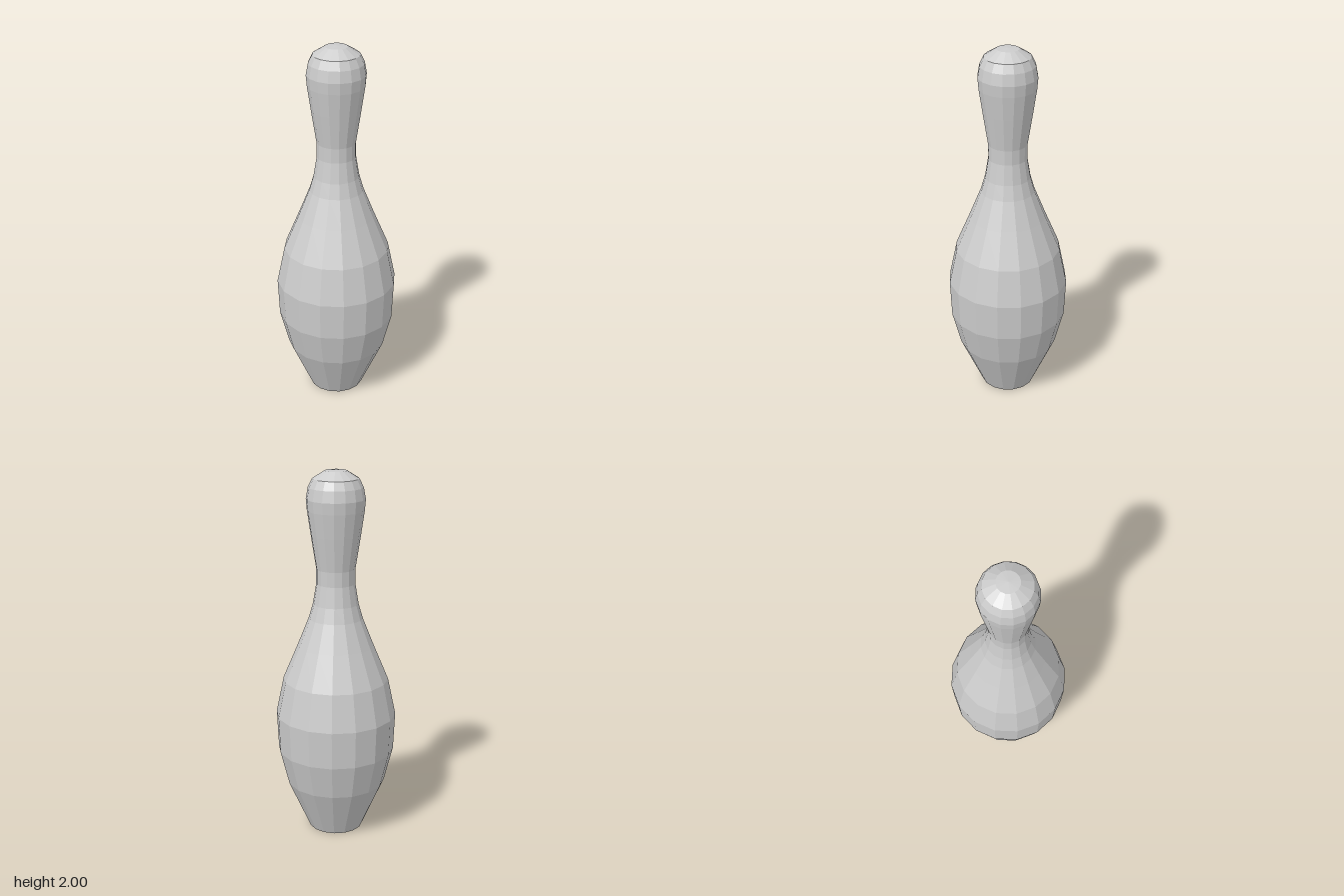
import * as THREE from 'three';

// Pin outline as [radius, height], from the base centre up to the crown
const PROFILE = [
  [0, 0], [0.148, 0],                                        // flat base
  [0.27, 0.275], [0.318, 0.465], [0.327, 0.67], [0.285, 0.87], // belly
  [0.205, 1.06], [0.145, 1.21], [0.122, 1.29],               // shoulder
  [0.104, 1.4], [0.104, 1.48],                               // neck
  [0.132, 1.66], [0.151, 1.79], [0.156, 1.85],               // head
  [0.145, 1.91], [0.123, 1.955], [0.059, 1.995], [0, 2],     // crown
];

export function createModel() {
  const group = new THREE.Group();
  group.name = 'bowlingPin';

  // Sixteen-sided faceted body
  const points = PROFILE.map(([r, y]) => new THREE.Vector2(r, y));
  const body = new THREE.Mesh(
    new THREE.LatheGeometry(points, 16),
    new THREE.MeshStandardMaterial({ color: 0xcccccc, flatShading: true })
  );
  body.name = 'pinBody';
  group.add(body);
  return group;
}
